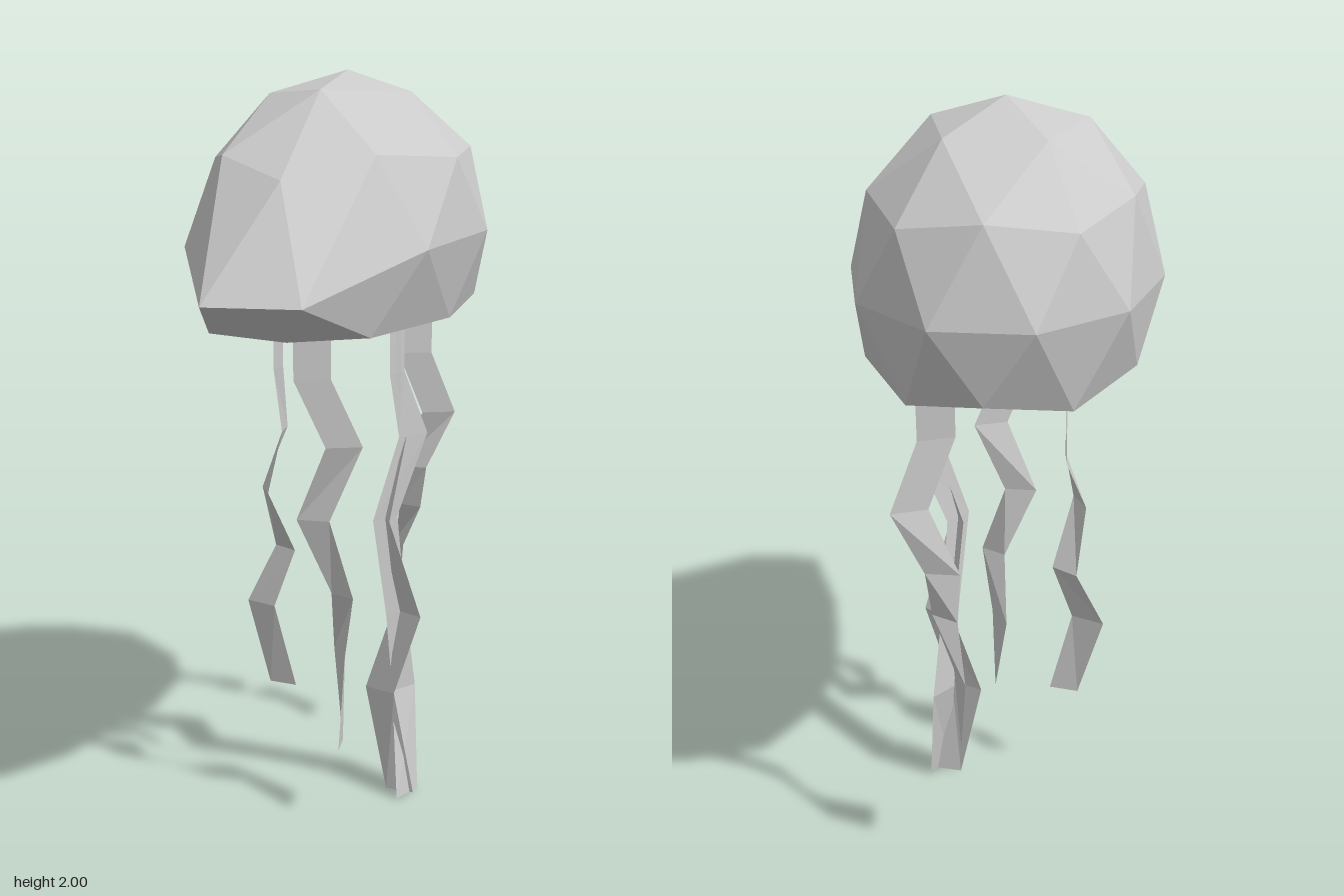
import * as THREE from 'three';

const material = new THREE.MeshStandardMaterial({
  color: 0xcccccc, flatShading: true, side: THREE.DoubleSide,
});

function makeMesh(name, positions, indices) {
  let geometry = new THREE.BufferGeometry();
  geometry.setAttribute('position', new THREE.Float32BufferAttribute(positions, 3));
  geometry.setIndex(indices);
  geometry = geometry.toNonIndexed();
  geometry.computeVertexNormals();
  const mesh = new THREE.Mesh(geometry, material);
  mesh.name = name;
  return mesh;
}

// Faceted bell: rings of a low-poly sphere, drawn out to a blunt snout at the front
function makeBell() {
  const positions = [];
  const indices = [];
  const addPoint = (x, y, z) => positions.push(x, y, z) / 3 - 1;
  const tri = (a, b, c) => indices.push(a, b, c);

  // kinds: alternating [radius, y]; front: step -> [y, z] of the pulled-out points
  const addRing = (count, startDeg, kinds, front = {}) =>
    Array.from({ length: count }, (_, i) => {
      const angle = THREE.MathUtils.degToRad(startDeg + (i * 360) / count);
      const [r, y] = kinds[i % kinds.length];
      const z = -0.19 + 0.547 * r * Math.cos(angle);
      const [py, pz] = front[i] ?? [y, z];
      return addPoint(0.392 * r * Math.sin(angle), py, pz);
    });

  const top = addPoint(0, 2, -0.19);
  const crown = addRing(5, 0, [[0.526, 1.936]]);
  const shoulder = addRing(10, 0, [[0.894, 1.765], [0.851, 1.796]],
    { 0: [1.71, 0.465], 1: [1.77, 0.31], 9: [1.77, 0.31] });
  const middle = addRing(10, 18, [[1, 1.57]],
    { 0: [1.43, 0.71], 1: [1.54, 0.26], 8: [1.54, 0.26], 9: [1.43, 0.71] });
  const rim = addRing(10, 0, [[0.851, 1.344], [0.894, 1.385]],
    { 0: [1.32, 0.42], 1: [1.335, 0.4], 9: [1.335, 0.4] });
  const hollow = addRing(5, 36, [[0.526, 1.36]]);
  const bottom = addPoint(0, 1.39, -0.19);

  for (let i = 0; i < 5; i++) {
    const n = (i + 1) % 5;
    const even = 2 * i, odd = even + 1, next = (even + 2) % 10, prev = (even + 9) % 10;
    tri(top, crown[i], crown[n]);
    tri(crown[i], shoulder[prev], shoulder[even]);
    tri(crown[i], shoulder[even], shoulder[odd]);
    tri(crown[i], shoulder[odd], crown[n]);
    tri(rim[even], hollow[i], rim[odd]);
    tri(rim[odd], hollow[i], rim[next]);
    tri(rim[next], hollow[i], hollow[n]);
    tri(hollow[i], bottom, hollow[n]);
  }
  for (let j = 0; j < 10; j++) {
    const n = (j + 1) % 10;
    tri(shoulder[j], middle[j], shoulder[n]);
    tri(middle[j], middle[n], shoulder[n]);
    tri(middle[j], rim[j], rim[n]);
    tri(middle[j], rim[n], middle[n]);
  }
  return makeMesh('bell', positions, indices);
}

// Twisting ribbon through rows of [y, x, z, halfX, halfZ]
function makeTentacle(name, rows) {
  const positions = [];
  const indices = [];
  rows.forEach(([y, x, z, hx, hz], i) => {
    positions.push(x - hx, y, z - hz, x + hx, y, z + hz);
    if (i === 0) return;
    const a = 2 * i - 2;
    indices.push(a, a + 2, a + 1, a + 1, a + 2, a + 3);
  });
  return makeMesh(name, positions, indices);
}

const tentacles = {
  frontTentacle: [
    [1.37, 0.01, 0.22, 0.045, -0.02], [1.2, 0.01, 0.22, 0.045, -0.02],
    [1.02, 0.085, 0.18, 0.045, -0.02], [0.82, 0, 0.18, 0.045, 0],
    [0.62, 0.08, 0.18, 0.035, 0.022], [0.44, 0.055, 0.11, 0.025, 0.04],
    [0.2, 0.075, 0.175, 0.005, 0.045],
  ],
  backTentacle: [
    [1.37, 0.15, -0.42, 0.045, -0.02], [1.2, 0.15, -0.41, 0.045, -0.02],
    [1.02, 0.215, -0.45, 0.045, -0.02], [0.85, 0.135, -0.447, 0.045, 0],
    [0.73, 0.13, -0.455, 0.035, 0.018], [0.6, 0.085, -0.52, 0.02, 0.04],
    [0.39, 0.09, -0.465, 0.005, 0.045],
  ],
  rightTentacle: [
    [1.37, -0.14, 0.02, 0, 0.045], [1.2, -0.14, 0.02, 0, 0.045],
    [1.02, -0.145, -0.055, 0.005, 0.045], [0.86, -0.18, 0.02, 0.02, 0.04],
    [0.68, -0.145, -0.055, 0.035, 0.025], [0.52, -0.21, -0.03, 0.045, 0.02],
    [0.29, -0.145, -0.025, 0.04, 0.008],
  ],
  leftTentacle: [
    [1.37, 0.195, 0.02, 0, 0.045], [1.2, 0.195, 0.02, 0, 0.045],
    [1.02, 0.2, -0.055, 0.01, 0.045], [0.8, 0.16, 0.02, 0.02, 0.04],
    [0.52, 0.21, -0.035, 0.045, 0.03], [0.29, 0.135, -0.035, 0.045, 0.02],
    [0, 0.195, -0.03, 0.04, 0.006],
  ],
  leftInnerTentacle: [
    [1.37, 0.19, 0.02, 0.01, -0.045], [1.2, 0.19, 0.02, 0.01, -0.045],
    [1.02, 0.22, -0.055, 0.03, -0.045], [0.8, 0.16, 0.02, 0.025, -0.04],
    [0.52, 0.18, -0.035, 0.02, -0.035], [0.29, 0.195, -0.075, 0.025, -0.035],
    [0, 0.22, -0.015, 0.02, -0.045],
  ],
};

export function createModel() {
  const model = new THREE.Group();
  model.name = 'jellyfish';
  model.add(makeBell());
  for (const [name, rows] of Object.entries(tentacles)) model.add(makeTentacle(name, rows));
  return model;
}
